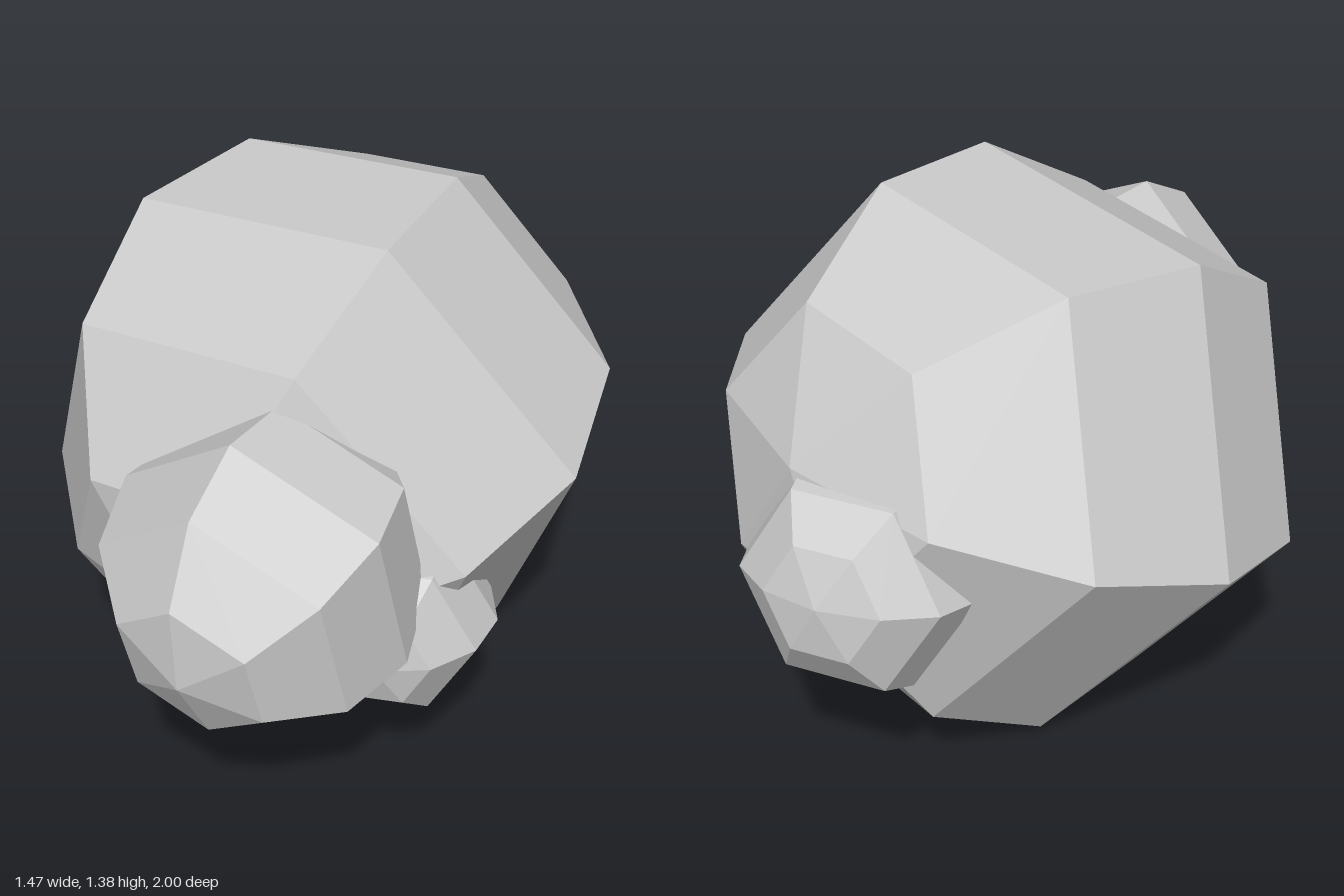
import * as THREE from 'three';

const stone = new THREE.MeshStandardMaterial({ color: 0xcccccc, flatShading: true });

// One faceted lump: a six-sided ball whose pole and one equator corner point in given directions.
// "flatten" scales it along its pole.
function lump(name, radius, centre, corner, pole, flatten = 1) {
  const x = new THREE.Vector3(...corner).normalize();
  const y = new THREE.Vector3(...pole);
  y.addScaledVector(x, -y.dot(x)).normalize();
  const z = new THREE.Vector3().crossVectors(x, y);

  const geometry = new THREE.SphereGeometry(radius, 6, 6);
  geometry.scale(1, flatten, 1);
  const mesh = new THREE.Mesh(geometry, stone);
  mesh.name = name;
  mesh.quaternion.setFromRotationMatrix(new THREE.Matrix4().makeBasis(x, y, z));
  mesh.position.set(...centre);
  return mesh;
}

export function createModel() {
  const group = new THREE.Group();
  group.name = 'rockCluster';
  group.add(
    // large central boulder
    lump('mainBoulder', 0.76, [0, 0.685, -0.125], [0.64, -0.77, 0], [0.353, 0.294, -0.89]),
    // medium boulder at the front
    lump('frontBoulder', 0.405, [0, 0.69, 0.6], [0.743, 0.557, 0.37], [-0.12, -0.09, 0.376]),
    // small stone low on the front left
    lump('smallStone', 0.265, [0.275, 0.45, 0.375], [1, 0, 0], [0, 0, 1]),
    // flattened stone at the back
    lump('backStone', 0.303, [0.11, 0.64, -0.77], [1, 0, 0], [0, 0.04, -0.23], 0.77),
  );
  return group;
}
